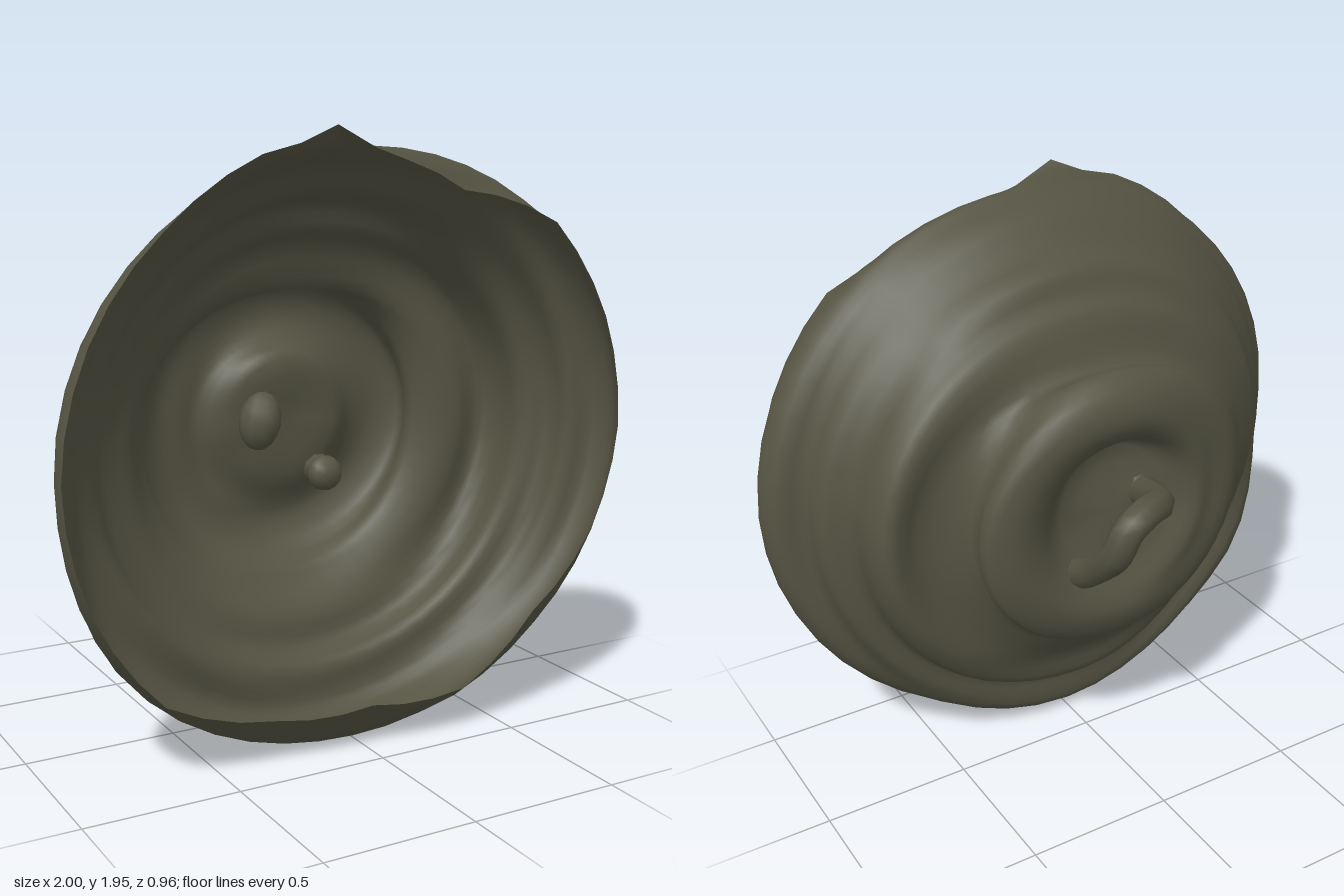
import * as THREE from 'three';

const CY = 0.97; // height of the dish axis
const SEGS = 48, RINGS = 44;

// radius and depth from the centre out to the widest point, at several angles from +x
const PROFILES = [
  { at: 0, pts: [[0, -.17], [.2, -.16], [.3, -.22], [.41, -.25], [.5, -.2], [.47, -.1], [.62, -.03], [.74, -.06], [.78, 0], [.79, .13], [.87, .18], [.89, .26], [.97, .29], [1, .36]] },
  { at: 90, pts: [[0, -.17], [.22, -.14], [.27, -.23], [.34, -.26], [.44, -.24], [.49, -.17], [.45, -.08], [.61, -.02], [.66, .05], [.74, .08], [.78, .17], [.87, .26], [.9, .33], [.92, .38]] },
  { at: 180, pts: [[0, -.17], [.2, -.18], [.3, -.22], [.36, -.21], [.45, -.19], [.53, -.13], [.56, -.08], [.62, 0], [.7, .04], [.77, .1], [.82, .18], [.9, .25], [.93, .3], [1, .36]] },
  { at: 220, pts: [[0, -.17], [.2, -.19], [.3, -.23], [.36, -.22], [.46, -.19], [.53, -.12], [.57, -.06], [.65, .01], [.73, .07], [.79, .15], [.83, .19], [.93, .18], [1, .24], [1.01, .32]] },
  { at: 270, pts: [[0, -.17], [.2, -.19], [.3, -.235], [.36, -.24], [.46, -.2], [.51, -.1], [.56, -.06], [.65, 0], [.75, .03], [.79, .1], [.87, .11], [.94, .13], [.96, .22], [.97, .31]] },
];

// ragged lip, every 22.5 degrees from +x: curled inwards where the radius is small
const LIP_R = [.95, .96, .96, .85, .9, .97, .97, .99, 1, 1, .99, .88, .82, .89, .835, .91];
const LIP_Z = [.45, .44, .43, .42, .43, .42, .43, .43, .42, .43, .42, .42, .44, .45, .48, .46];

function sampleLoop(list, turn) {
  const n = list.length, f = turn * n, i = Math.floor(f);
  return THREE.MathUtils.lerp(list[i % n], list[(i + 1) % n], f - i);
}

// cross-section of the dish at one angle
function sectionAt(turn) {
  const deg = turn * 360;
  const i = PROFILES.findLastIndex((p) => p.at <= deg);
  const from = PROFILES[i], to = PROFILES[(i + 1) % PROFILES.length];
  const t = THREE.MathUtils.smoothstep(deg, from.at, to.at || 360);
  const pts = from.pts.map(([r, z], k) => new THREE.Vector3(
    THREE.MathUtils.lerp(r, to.pts[k][0], t),
    THREE.MathUtils.lerp(z, to.pts[k][1], t), 0));
  const peak = 0.065 * Math.exp(-(((deg - 97.5) / 6) ** 2)); // pointed tip of the lip
  pts.push(new THREE.Vector3(sampleLoop(LIP_R, turn) + peak, sampleLoop(LIP_Z, turn), 0));
  return new THREE.CatmullRomCurve3(pts, false, 'centripetal');
}

function dishGeometry() {
  const position = [0, CY, -0.17], index = [];
  for (let s = 0; s < SEGS; s++) {
    const turn = s / SEGS, a = turn * Math.PI * 2, curve = sectionAt(turn);
    for (let k = 1; k <= RINGS; k++) {
      const p = curve.getPoint(k / RINGS);
      // slight spiral folds, fading out at the centre and the lip
      const fold = 0.006 * Math.sin(a * 2 + k * 0.8) * Math.sin(Math.PI * k / RINGS);
      position.push(p.x * Math.cos(a), CY + p.x * Math.sin(a), p.y + fold);
    }
  }
  const id = (s, k) => (k === 0 ? 0 : 1 + (s % SEGS) * RINGS + k - 1);
  for (let s = 0; s < SEGS; s++) {
    index.push(0, id(s + 1, 1), id(s, 1));
    for (let k = 1; k < RINGS; k++) {
      const a = id(s, k), b = id(s, k + 1), c = id(s + 1, k + 1), d = id(s + 1, k);
      index.push(a, c, b, a, d, c);
    }
  }
  const g = new THREE.BufferGeometry();
  g.setAttribute('position', new THREE.Float32BufferAttribute(position, 3));
  g.setIndex(index);
  g.computeVertexNormals();
  return g;
}

export function createModel() {
  const model = new THREE.Group();
  const olive = new THREE.MeshStandardMaterial({ color: 0x555443, side: THREE.DoubleSide });
  olive.name = 'dark olive';

  const add = (name, geometry, parent = model) => {
    const mesh = new THREE.Mesh(geometry, olive);
    mesh.name = name;
    parent.add(mesh);
    return mesh;
  };

  add('coiledDish', dishGeometry());

  // looped handle whose feet pass through the dish
  const handle = new THREE.Group();
  handle.name = 'handle';
  model.add(handle);
  const path = new THREE.CatmullRomCurve3([
    [-.115, .985, -.1], [-.105, 1.01, -.2], [-.05, 1.06, -.35], [.04, 1.08, -.41],
    [.11, 1.05, -.427], [.135, .96, -.4], [.135, .85, -.29], [.142, .79, -.2], [.145, .775, -.13],
  ].map((p) => new THREE.Vector3(...p)));
  add('handleLoop', new THREE.TubeGeometry(path, 32, 0.052, 8), handle);

  // rounded feet on the inside
  const feet = [[-.115, .985, -.11, .07, .1, .075], [.145, .775, -.13, .065, .062, .05]];
  feet.forEach(([x, y, z, sx, sy, sz]) => {
    const foot = add('handleFoot', new THREE.SphereGeometry(1, 10, 8), handle);
    foot.position.set(x, y, z);
    foot.scale.set(sx, sy, sz);
    foot.rotation.z = -0.2;
  });

  return model;
}
